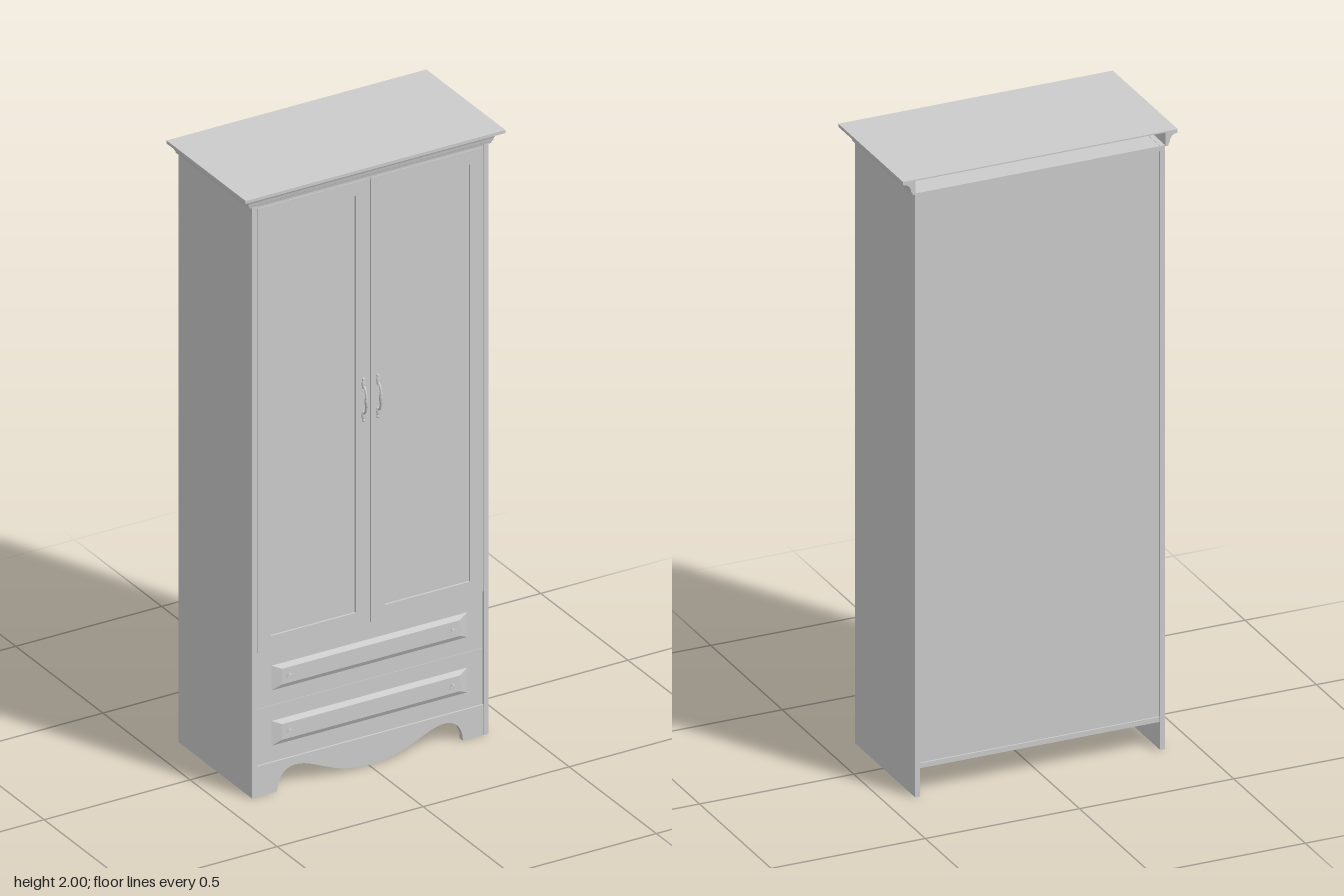
import * as THREE from 'three';
import { toCreasedNormals } from 'three/addons/utils/BufferGeometryUtils.js';

const material = new THREE.MeshStandardMaterial({ color: 0xcccccc });

function add(parent, name, geometry, x = 0, y = 0, z = 0) {
  const mesh = new THREE.Mesh(geometry, material);
  mesh.name = name;
  mesh.position.set(x, y, z);
  parent.add(mesh);
  return mesh;
}

// Box given by its limits on each axis
function slab(parent, name, x0, x1, y0, y1, z0, z1) {
  return add(parent, name, new THREE.BoxGeometry(x1 - x0, y1 - y0, z1 - z0),
    (x0 + x1) / 2, (y0 + y1) / 2, (z0 + z1) / 2);
}

function rectangle(path, x0, x1, y0, y1) {
  path.moveTo(x0, y0).lineTo(x1, y0).lineTo(x1, y1).lineTo(x0, y1).closePath();
  return path;
}

// Cornice: a closed profile (offset, height) mitred around three sides, capped at the back
function corniceGeometry() {
  const profile = [[0, 1.952], [0.009, 1.952], [0.011, 1.96]];
  for (let i = 0; i <= 6; i++) {
    const a = (i / 6) * Math.PI / 2;
    profile.push([0.014 + 0.022 * (1 - Math.cos(a)), 1.962 + 0.026 * Math.sin(a)]);
  }
  profile.push([0.04, 1.99], [0.04, 2], [0, 2]);
  const stations = [
    (o, y) => [0.405 + o, y, -0.227], (o, y) => [0.405 + o, y, 0.187 + o],
    (o, y) => [-0.405 - o, y, 0.187 + o], (o, y) => [-0.405 - o, y, -0.227],
  ].map((f) => profile.map(([o, y]) => f(o, y)));
  const n = profile.length;
  const positions = [];
  for (let s = 0; s < 3; s++) {
    const a = stations[s], b = stations[s + 1];
    for (let i = 0; i < n; i++) {
      const j = (i + 1) % n;
      positions.push(...a[i], ...a[j], ...b[i], ...a[j], ...b[j], ...b[i]);
    }
  }
  const faces = THREE.ShapeUtils.triangulateShape(profile.map((p) => new THREE.Vector2(...p)), []);
  for (const [p, q, r] of faces) {
    positions.push(...stations[0][p], ...stations[0][r], ...stations[0][q]);
    positions.push(...stations[3][p], ...stations[3][q], ...stations[3][r]);
  }
  const geometry = new THREE.BufferGeometry();
  geometry.setAttribute('position', new THREE.Float32BufferAttribute(positions, 3));
  return toCreasedNormals(geometry, 0.5);
}

// Scalloped apron with two small arches and a hanging centre lobe
function apronGeometry() {
  const s = new THREE.Shape();
  s.moveTo(-0.389, 0.1).lineTo(-0.389, 0).lineTo(-0.318, 0);
  s.bezierCurveTo(-0.318, 0.04, -0.295, 0.073, -0.255, 0.073);
  s.bezierCurveTo(-0.19, 0.073, -0.13, 0.004, 0, 0.004);
  s.bezierCurveTo(0.13, 0.004, 0.19, 0.073, 0.255, 0.073);
  s.bezierCurveTo(0.295, 0.073, 0.318, 0.04, 0.318, 0);
  s.lineTo(0.389, 0).lineTo(0.389, 0.1).closePath();
  return new THREE.ExtrudeGeometry(s, { depth: 0.018, bevelEnabled: false, curveSegments: 16 });
}

// Raised drawer panel: a box whose front face is drawn in
function raisedPanelGeometry(w, h, d) {
  const geometry = new THREE.BoxGeometry(w, h, d);
  const p = geometry.attributes.position;
  for (let i = 0; i < p.count; i++) {
    if (p.getZ(i) > 0) {
      p.setX(i, p.getX(i) - Math.sign(p.getX(i)) * 0.03);
      p.setY(i, p.getY(i) - Math.sign(p.getY(i)) * 0.015);
    }
  }
  geometry.computeVertexNormals();
  return geometry;
}

// Bow handle with leaf-shaped ends and a beaded grip
function makeHandle() {
  const handle = new THREE.Group();
  handle.name = 'doorHandle';
  const bow = new THREE.CatmullRomCurve3([
    [-0.046, 0], [-0.04, 0.01], [-0.022, 0.018], [0, 0.02], [0.022, 0.018], [0.04, 0.01], [0.046, 0],
  ].map(([y, z]) => new THREE.Vector3(0, y, z)));
  add(handle, 'bow', new THREE.TubeGeometry(bow, 28, 0.0035, 8));
  const grip = [[0, -0.02], [0.0045, -0.018], [0.004, -0.014], [0.0055, -0.006], [0.006, 0],
    [0.0055, 0.006], [0.004, 0.014], [0.0045, 0.018], [0, 0.02]].map((p) => new THREE.Vector2(...p));
  add(handle, 'grip', new THREE.LatheGeometry(grip, 12), 0, 0, 0.018);
  for (const side of [-1, 1]) {
    add(handle, 'endLeaf', new THREE.SphereGeometry(1, 12, 8), 0, side * 0.052, 0.001).scale.set(0.006, 0.016, 0.004);
    add(handle, 'endBead', new THREE.SphereGeometry(0.005, 10, 8), 0, side * 0.068, 0.001);
  }
  return handle;
}

// Small oval pull on a stem
function makePull() {
  const pull = new THREE.Group();
  pull.name = 'drawerPull';
  add(pull, 'stem', new THREE.CylinderGeometry(0.005, 0.006, 0.02, 10), 0, 0, 0.01).rotation.x = Math.PI / 2;
  const head = add(pull, 'head', new THREE.CylinderGeometry(1, 0.8, 0.007, 12), 0, 0, 0.021);
  head.rotation.x = Math.PI / 2;
  head.scale.set(0.022, 1, 0.009);
  return pull;
}

export function createModel() {
  const wardrobe = new THREE.Group();
  wardrobe.name = 'wardrobe';

  // Carcass: sides reach the floor, the back is set in
  for (const s of [-1, 1]) {
    add(wardrobe, 'sidePanel', new THREE.BoxGeometry(0.016, 1.955, 0.422), s * 0.397, 0.9775, -0.014);
  }
  slab(wardrobe, 'backPanel', -0.389, 0.389, 0.1, 1.95, -0.217, -0.211);
  slab(wardrobe, 'bottomBoard', -0.389, 0.389, 0.09, 0.106, -0.222, 0.178);
  slab(wardrobe, 'carcassTop', -0.389, 0.389, 1.938, 1.954, -0.224, 0.196);
  slab(wardrobe, 'middleShelf', -0.389, 0.389, 0.462, 0.476, -0.211, 0.178);

  // Cornice with a thin lid, hollow at the back
  add(wardrobe, 'cornice', corniceGeometry());
  slab(wardrobe, 'corniceLid', -0.42, 0.42, 1.996, 2, -0.227, 0.215);
  slab(wardrobe, 'corniceFrontBacking', -0.405, 0.405, 1.952, 1.997, 0.172, 0.188);

  add(wardrobe, 'apron', apronGeometry(), 0, 0, 0.177);

  // Doors: framed, with a recessed panel
  for (const s of [-1, 1]) {
    const door = new THREE.Group();
    door.name = s > 0 ? 'leftDoor' : 'rightDoor';
    const limits = (a, b) => (s > 0 ? [a, b] : [-b, -a]);
    const frame = rectangle(new THREE.Shape(), ...limits(0.0015, 0.387), 0.477, 1.946);
    frame.holes.push(rectangle(new THREE.Path(), ...limits(0.05, 0.341), 0.521, 1.901));
    add(door, 'doorFrame', new THREE.ExtrudeGeometry(frame, { depth: 0.018, bevelEnabled: false }), 0, 0, 0.18);
    slab(door, 'doorPanel', ...limits(0.045, 0.346), 0.516, 1.906, 0.181, 0.191);
    const handle = makeHandle();
    handle.position.set(s * 0.025, 1.22, 0.198);
    door.add(handle);
    wardrobe.add(door);
  }

  // Drawers with raised panels and two pulls each
  for (const [y0, y1, centre] of [[0.102, 0.287, 0.195], [0.288, 0.474, 0.378]]) {
    const drawer = new THREE.Group();
    drawer.name = 'drawer';
    slab(drawer, 'drawerFront', -0.388, 0.388, y0, y1, 0.175, 0.192);
    add(drawer, 'raisedPanel', raisedPanelGeometry(0.67, 0.082, 0.008), 0, centre, 0.196);
    for (const s of [-1, 1]) {
      const pull = makePull();
      pull.position.set(s * 0.28, centre, 0.193);
      drawer.add(pull);
    }
    wardrobe.add(drawer);
  }
  return wardrobe;
}
